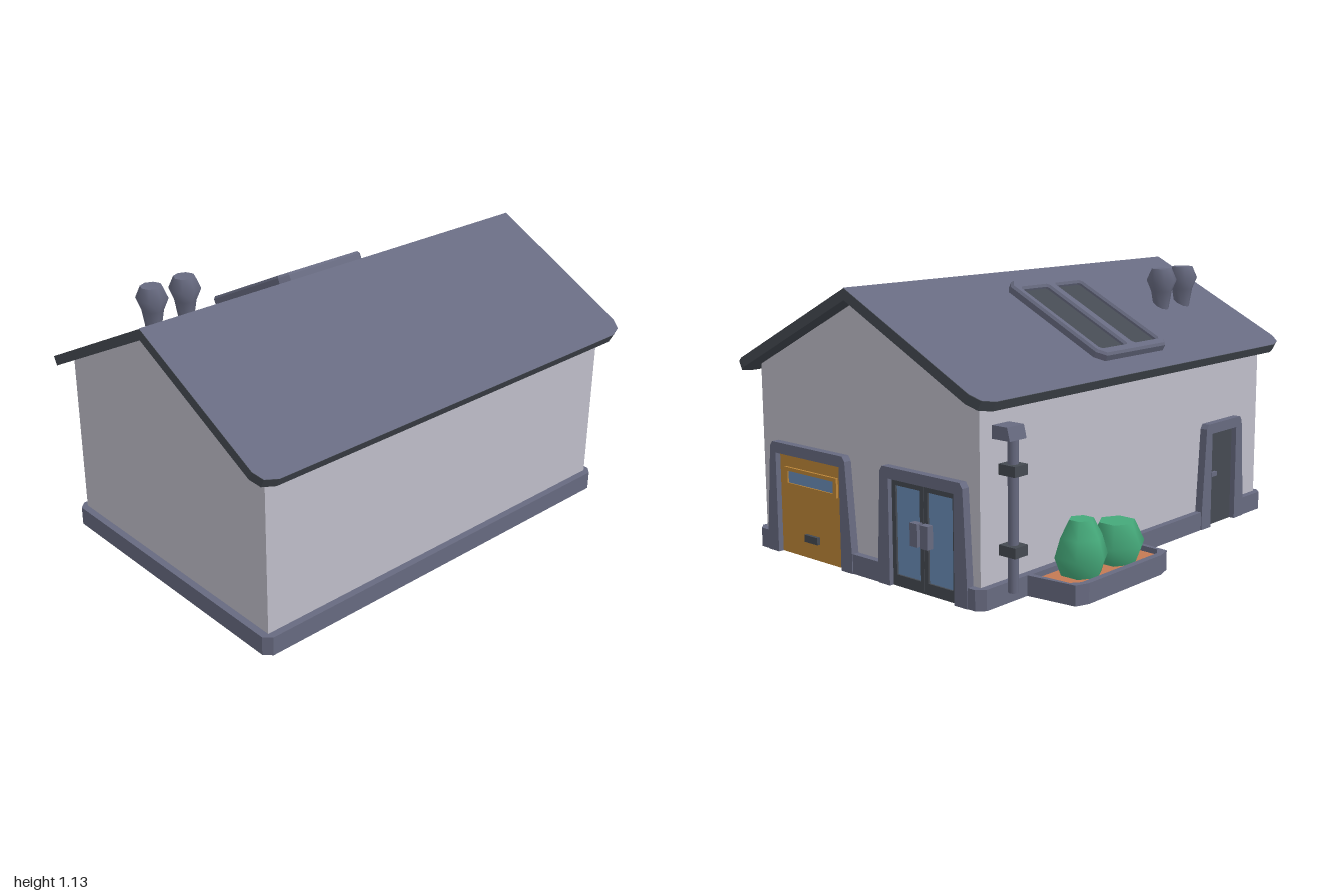
import * as THREE from 'three';

const mat = (name, color, side = THREE.FrontSide) => {
  const m = new THREE.MeshStandardMaterial({ color, side });
  m.name = name;
  return m;
};
const M = {
  wall: mat('wall', 0xbfbec9),
  slate: mat('slate', 0x676a80),
  dark: mat('dark', 0x454a52),
  orange: mat('orange', 0xbd8638),
  glass: mat('glass', 0x6a8db8),
  leaf: mat('leaf', 0x45a97a),
  soil: mat('soil', 0xc47a54),
};

function add(parent, name, geo, material, x = 0, y = 0, z = 0) {
  const mesh = new THREE.Mesh(geo, material);
  mesh.name = name;
  mesh.position.set(x, y, z);
  parent.add(mesh);
  return mesh;
}
const box = (parent, name, w, h, d, material, x, y, z) =>
  add(parent, name, new THREE.BoxGeometry(w, h, d), material, x, y, z);

function poly(pts, holes = []) {
  const v = (list) => list.map(([x, y]) => new THREE.Vector2(x, y));
  const s = new THREE.Shape(v(pts));
  for (const h of holes) s.holes.push(new THREE.Path(v(h)));
  return s;
}
const extrude = (shape, depth) => new THREE.ExtrudeGeometry(shape, { depth, bevelEnabled: false });
// Plan outline given as [x, z], raised by h
const plan = (pts, h, holes = []) => {
  const flip = (l) => l.map(([x, z]) => [x, -z]);
  return extrude(poly(flip(pts), holes.map(flip)), h).rotateX(-Math.PI / 2);
};
// Rectangle with cut corners
const cutRect = (x0, y0, x1, y1, c) => [
  [x0 + c, y0], [x1 - c, y0], [x1, y0 + c], [x1, y1 - c],
  [x1 - c, y1], [x0 + c, y1], [x0, y1 - c], [x0, y0 + c],
];
const lathe = (pts, sides) =>
  new THREE.LatheGeometry(pts.map(([r, y]) => new THREE.Vector2(r, y)), sides);

const RIDGE_X = 0.085, RIDGE_Y = 1.13, SLOPE = Math.atan(0.355 / 0.7), LEN = 0.785;

// One roof slope: local x runs down from the ridge
function roofSlope(parent, name) {
  const t = 0.04;
  const outline = poly([
    [0, -1], [LEN - 0.065, -1], [LEN - 0.02, -0.98], [LEN, -0.925],
    [LEN, 0.925], [LEN - 0.02, 0.98], [LEN - 0.065, 1], [0, 1],
  ]);
  const body = extrude(outline, t).rotateX(-Math.PI / 2).translate(0, -t - 0.002, 0);
  // Mitre the lower ridge edge so the two slopes meet
  const p = body.attributes.position;
  for (let i = 0; i < p.count; i++) {
    if (p.getX(i) < 0.001) p.setX(i, p.getY(i) * -Math.tan(SLOPE));
  }
  body.computeVertexNormals();
  const g = new THREE.Group();
  g.name = name;
  add(g, name + 'Edge', body.rotateZ(-SLOPE), M.dark);
  add(g, name + 'Top', new THREE.ShapeGeometry(outline).rotateX(-Math.PI / 2).rotateZ(-SLOPE), M.slate);
  g.position.set(RIDGE_X, RIDGE_Y, 0);
  parent.add(g);
  return g;
}

// Doorway surround facing +z, standing on the ground
function doorway(parent, name, inner, top, base) {
  const g = new THREE.Group();
  g.name = name;
  const H = 0.465, h = 0.42;
  add(g, 'doorFrame', extrude(poly([
    [-base, 0], [-base, 0.08], [-top - 0.004, H - 0.02], [-top + 0.01, H],
    [top - 0.01, H], [top + 0.004, H - 0.02], [base, 0.08], [base, 0],
    [inner, 0], [inner, h], [-inner, h], [-inner, 0],
  ]), 0.034), M.slate);
  parent.add(g);
  return g;
}

export function createModel() {
  const house = new THREE.Group();
  house.name = 'house';

  // Walls with gables
  add(house, 'walls', extrude(poly([
    [-0.53, 0.002], [0.7, 0.002], [0.7, 0.775], [RIDGE_X, 1.085], [-0.53, 0.775],
  ]), 1.845).translate(0, 0, -0.92), M.wall);

  // Plinth, notched at the doors
  add(house, 'plinth', plan([
    [-0.53, -0.95], [-0.43, -0.95], [-0.43, -0.92], [-0.085, -0.92], [-0.085, -0.95],
    [0.195, -0.95], [0.195, -0.92], [0.585, -0.92], [0.585, -0.95], [0.7, -0.95],
    [0.73, -0.92], [0.73, 0.925], [0.7, 0.955], [-0.53, 0.955], [-0.56, 0.925],
    [-0.56, 0.71], [-0.53, 0.71], [-0.53, 0.52], [-0.56, 0.52], [-0.56, -0.92],
  ], 0.08), M.slate);

  // Roof
  roofSlope(house, 'leftRoof');
  const right = roofSlope(house, 'rightRoof');
  right.rotation.y = Math.PI;

  // Skylight on the right slope
  const skylight = new THREE.Group();
  skylight.name = 'skylight';
  skylight.rotation.z = -SLOPE;
  right.add(skylight);
  const panes = [[-0.2, -0.02], [0.015, 0.195]];
  const paneRects = panes.map(([a, b]) => cutRect(0.17, a, 0.645, b, 0.012));
  const frame = new THREE.ExtrudeGeometry(
    poly(cutRect(0.125, -0.222, 0.675, 0.217, 0.03), paneRects),
    { depth: 0.025, bevelEnabled: true, bevelSize: 0.008, bevelThickness: 0.01, bevelSegments: 1 });
  add(skylight, 'skylightFrame', frame.rotateX(-Math.PI / 2), M.slate);
  for (const [a, b] of panes) {
    box(skylight, 'skylightPane', 0.48, 0.008, b - a, M.dark, 0.4075, 0.012, -(a + b) / 2);
  }

  // Chimney pots
  for (const z of [0.55, 0.71]) {
    const pot = lathe([[0.03, 0.9], [0.034, 0.95], [0.046, 1.02], [0.067, 1.07], [0.045, 1.12]], 8);
    add(house, 'chimneyPot', pot, M.slate, -0.257, 0, z);
    add(house, 'chimneyCap', new THREE.CircleGeometry(0.045, 8).rotateX(-Math.PI / 2), M.slate, -0.257, 1.12, z);
  }

  // Garage door at the back
  const garage = doorway(house, 'garageDoor', 0.195, 0.225, 0.26);
  garage.position.set(0.39, 0, -0.92);
  garage.rotation.y = Math.PI;
  box(garage, 'garagePanel', 0.39, 0.42, 0.012, M.orange, 0, 0.21, 0.004);
  add(garage, 'garageWindowFrame', extrude(poly(
    [[-0.16, 0.285], [0.16, 0.285], [0.16, 0.365], [-0.16, 0.365]],
    [[[-0.14, 0.3], [0.14, 0.3], [0.14, 0.35], [-0.14, 0.35]]]), 0.01), M.orange, 0, 0, 0.01);
  box(garage, 'garageWindow', 0.28, 0.05, 0.006, M.glass, 0, 0.325, 0.011);
  box(garage, 'garageHandle', 0.08, 0.03, 0.016, M.dark, 0, 0.085, 0.016);

  // Glass double door at the back
  const entry = doorway(house, 'glassDoor', 0.1725, 0.214, 0.237);
  entry.position.set(-0.2575, 0, -0.92);
  entry.rotation.y = Math.PI;
  for (const s of [-1, 1]) {
    const x = s * 0.086;
    add(entry, 'leafFrame', extrude(poly(
      [[x - 0.085, 0], [x + 0.085, 0], [x + 0.085, 0.42], [x - 0.085, 0.42]],
      [[[x - 0.065, 0.045], [x + 0.065, 0.045], [x + 0.065, 0.395], [x - 0.065, 0.395]]]), 0.016), M.dark);
    box(entry, 'doorGlass', 0.13, 0.35, 0.008, M.glass, x, 0.22, 0.004);
    box(entry, 'doorHandle', 0.04, 0.09, 0.03, M.slate, s * 0.028, 0.23, 0.03);
  }

  // Side door
  const side = doorway(house, 'sideDoor', 0.095, 0.135, 0.165);
  side.position.set(-0.53, 0, 0.615);
  side.rotation.y = -Math.PI / 2;
  box(side, 'sidePanel', 0.19, 0.42, 0.012, M.dark, 0, 0.21, 0.004);
  box(side, 'sideHandle', 0.04, 0.02, 0.016, M.slate, -0.055, 0.23, 0.014);

  // Drainpipe
  add(house, 'drainpipe', new THREE.CylinderGeometry(0.02, 0.02, 0.58, 8), M.slate, -0.59, 0.34, -0.81);
  add(house, 'pipeHead', extrude(poly(
    [[-0.615, 0.62], [-0.53, 0.62], [-0.53, 0.67], [-0.602, 0.67]]), 0.09), M.slate, 0, 0, -0.855);
  for (const y of [0.21, 0.51]) {
    box(house, 'pipeClamp', 0.08, 0.04, 0.07, M.dark, -0.59, y, -0.81);
    box(house, 'pipeBracket', 0.04, 0.02, 0.02, M.dark, -0.545, y, -0.81);
  }

  // Planter with two bushes
  const bed = [[-0.56, -0.7], [-0.77, -0.675], [-0.79, -0.62], [-0.79, -0.17], [-0.77, -0.105], [-0.56, -0.085]];
  const inside = [[-0.565, -0.675], [-0.735, -0.665], [-0.762, -0.63], [-0.762, -0.16], [-0.735, -0.12], [-0.565, -0.11]];
  add(house, 'planterRim', plan(bed, 0.08, [inside]), M.slate);
  add(house, 'planterBase', plan(inside, 0.05), M.slate);
  add(house, 'soil', plan(inside, 0.008), M.soil, 0, 0.05, 0);
  const bush = (name, pts, z) => {
    const [r, y] = pts[pts.length - 1];
    const turn = Math.PI / 2;
    add(house, name, lathe(pts, 6).rotateY(turn), M.leaf, -0.655, 0, z);
    add(house, name + 'Top', new THREE.CircleGeometry(r, 6).rotateX(-Math.PI / 2), M.leaf, -0.655, y, z);
  };
  bush('tallBush', [[0.08, 0.055], [0.108, 0.13], [0.085, 0.205], [0.05, 0.273]], -0.5);
  bush('shortBush', [[0.085, 0.055], [0.117, 0.13], [0.075, 0.218]], -0.28);

  return house;
}
